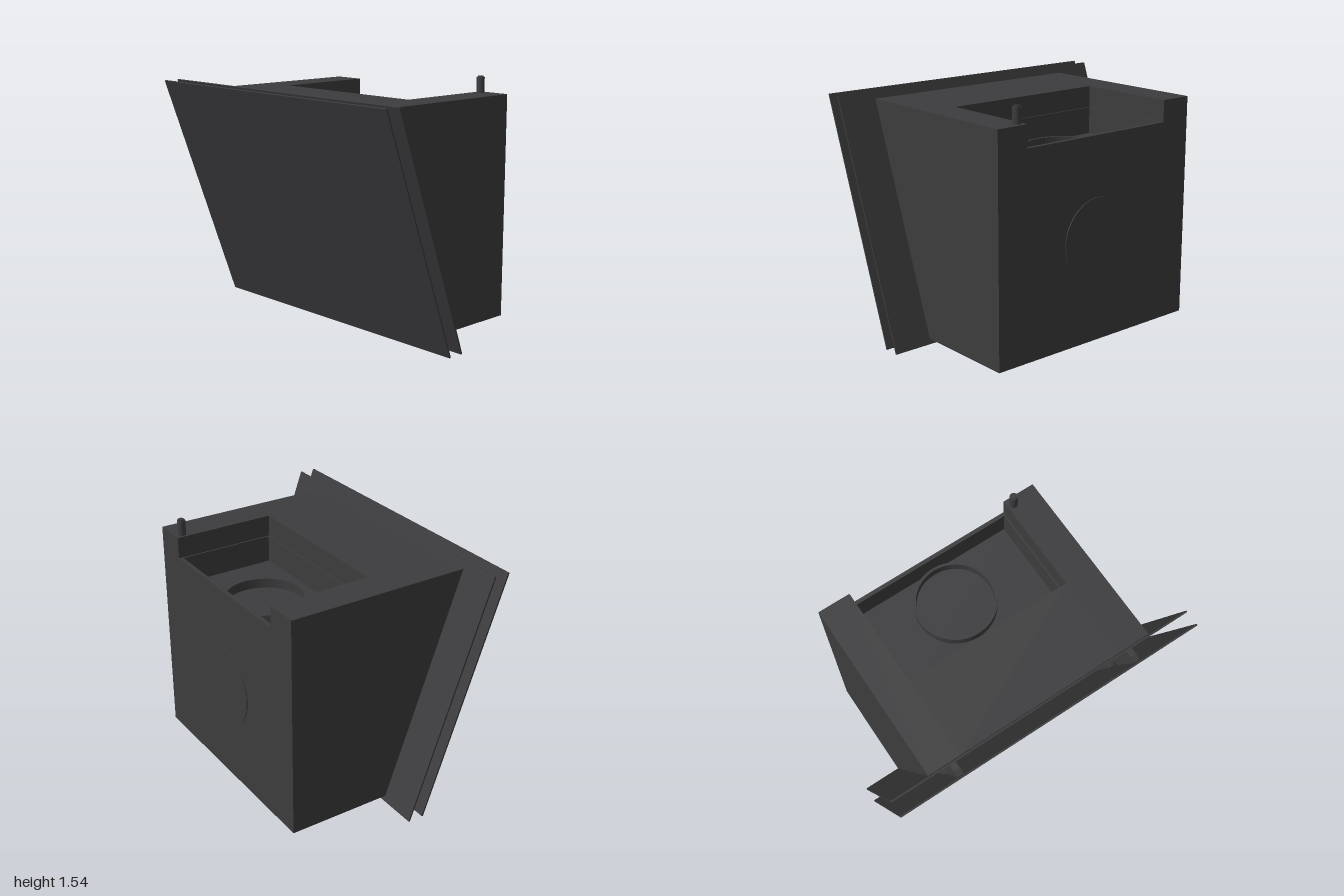
import * as THREE from 'three';

export function createModel() {
  const group = new THREE.Group();
  group.name = 'cookerHood';
  const dark = new THREE.MeshStandardMaterial({ color: 0x3c3c3e });

  const add = (name, geometry, x = 0, y = 0, z = 0, parent = group) => {
    const mesh = new THREE.Mesh(geometry, dark);
    mesh.name = name;
    mesh.position.set(x, y, z);
    parent.add(mesh);
    return mesh;
  };
  const box = (name, w, h, d, x, y, z) => add(name, new THREE.BoxGeometry(w, h, d), x, y, z);

  // Side profile of [z, y] points extruded along x, centred on the given x
  const profile = (name, points, width, x = 0) => {
    const shape = new THREE.Shape(points.map(([z, y]) => new THREE.Vector2(z, y)));
    const g = new THREE.ExtrudeGeometry(shape, { depth: width, bevelEnabled: false });
    g.translate(0, 0, -width / 2).rotateY(-Math.PI / 2);
    return add(name, g, x);
  };

  // Housing: middle section with the top recess, plus two solid cheeks
  const back = -0.645, base = 0.035, top = 1.435, floor = 1.13, ledge = 1.3;
  profile('housingMiddle', [
    [back, base], [0.018, base], [0.528, top], [0, top], [0, floor],
    [-0.62, floor], [-0.62, ledge], [back, ledge],
  ], 1.08);
  for (const s of [-1, 1]) {
    profile('housingCheek', [[back, base], [0.018, base], [0.528, top], [back, top]], 0.21, s * 0.645);
    box('recessLiner', 0.01, ledge - floor, 0.62, s * 0.535, (ledge + floor) / 2, -0.31);
  }
  box('recessFrontLiner', 1.08, ledge - floor, 0.01, 0, (ledge + floor) / 2, -0.005);

  // Slanted glass panels
  for (const [name, z] of [['frontPanel', 0.3765], ['rearPanel', 0.2785]]) {
    box(name, 2, 1.569, 0.01, 0, 0.74, z).rotation.x = 0.3447;
  }

  // Outlet collar on the recess floor
  const ring = [[0.238, 0], [0.255, 0], [0.255, 0.06], [0.238, 0.06], [0.238, 0]];
  const collar = new THREE.LatheGeometry(ring.map(([r, y]) => new THREE.Vector2(r, y)), 64).toNonIndexed();
  collar.computeVertexNormals();
  add('outletCollar', collar, 0, floor, -0.36);

  // Blanked rear outlet
  add('rearOutletCover', new THREE.CylinderGeometry(0.255, 0.255, 0.007, 64).rotateX(Math.PI / 2), 0, 0.675, back - 0.002);

  // Cable stub with a narrower tip
  add('cableStub', new THREE.CylinderGeometry(0.025, 0.025, 0.095, 24), 0.578, top + 0.0475, -0.597);
  add('cableTip', new THREE.CylinderGeometry(0.018, 0.018, 0.008, 24), 0.578, 1.533, -0.597);

  // Underside filter panel and its latch
  box('filterPanel', 1.11, 0.006, 0.5, 0, base, -0.31);
  box('filterLatch', 0.1, 0.008, 0.08, -0.47, base, -0.31);

  // Hinges, struts and spacers between the panels
  for (const s of [-1, 1]) {
    const x = s * 0.6;
    profile('upperHinge', [
      [0.618, 1.415], [0.58, 1.435], [0.53, 1.43], [0.42, 1.12], [0.45, 1.12], [0.505, 1.14],
    ], 0.04, x);
    profile('hingeStrut', [[0.535, 1.27], [0.5, 1.28], [0.36, 0.88], [0.39, 0.87]], 0.024, x);
    profile('lowerHinge', [
      [0.45, 0.96], [0.43, 0.97], [0.37, 0.93], [0.32, 0.8], [0.32, 0.76], [0.345, 0.73], [0.368, 0.735],
    ], 0.04, x);

    const spacer = new THREE.Group();
    spacer.name = 'spacer';
    spacer.position.set(x, 0.33, 0.175);
    spacer.rotation.x = 0.3447;
    add('spacerCone', new THREE.CylinderGeometry(0.032, 0.05, 0.09, 24).rotateX(Math.PI / 2), 0, 0, 0, spacer);
    add('spacerPlate', new THREE.BoxGeometry(0.06, 0.125, 0.01), 0, 0, 0.043, spacer);
    group.add(spacer);
  }
  return group;
}
